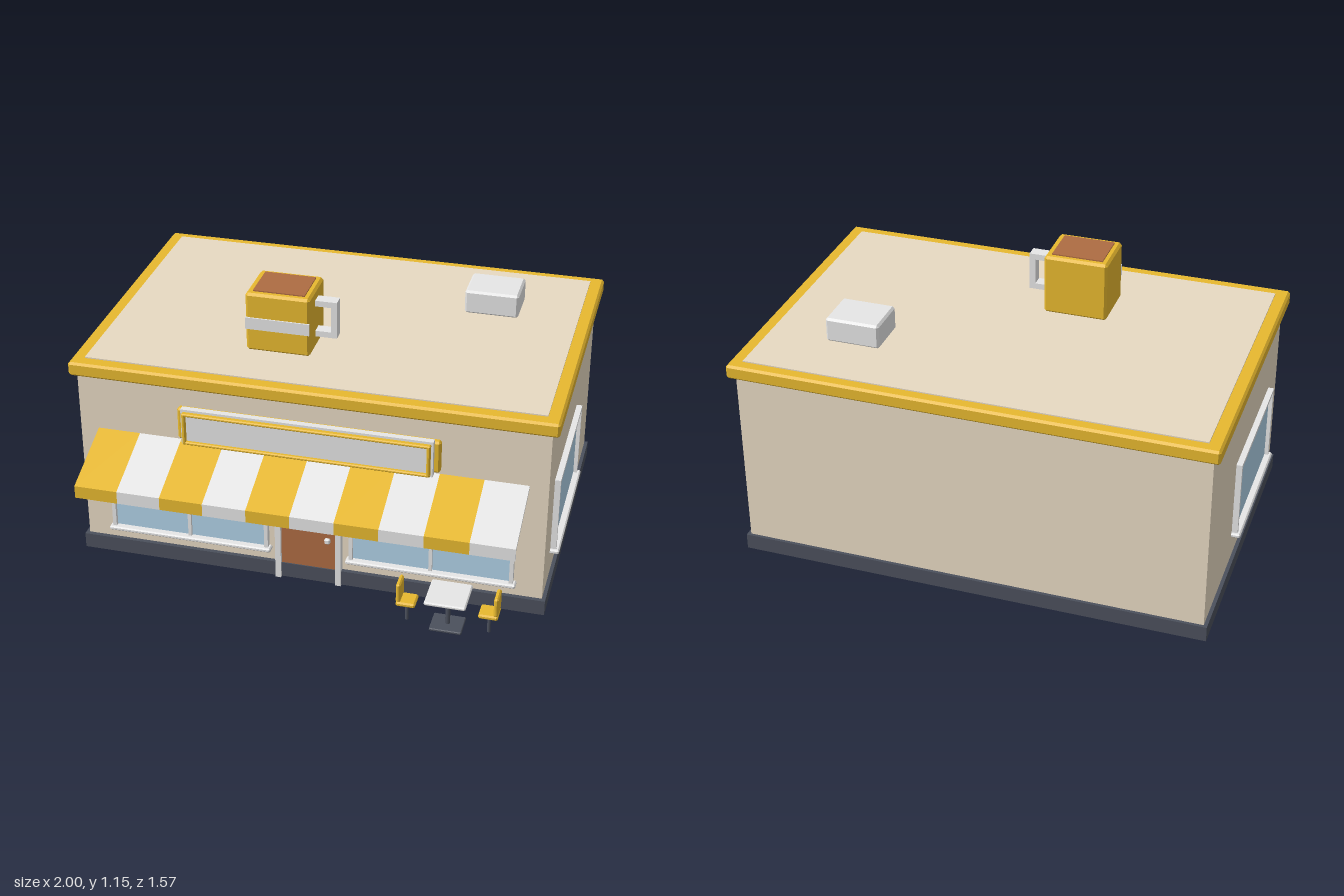
import * as THREE from 'three';
import { ConvexGeometry } from 'three/addons/geometries/ConvexGeometry.js';

const mat = (name, color) => {
  const m = new THREE.MeshStandardMaterial({ color });
  m.name = name;
  return m;
};

// Box with every edge cut at 45 degrees by c
const chamferBox = (w, h, d, c) => {
  const half = [w / 2, h / 2, d / 2], points = [];
  for (const sx of [-1, 1]) for (const sy of [-1, 1]) for (const sz of [-1, 1])
    for (let full = 0; full < 3; full++)
      points.push(new THREE.Vector3(
        ...[sx, sy, sz].map((s, axis) => s * (half[axis] - (axis === full ? 0 : c)))));
  return new ConvexGeometry(points);
};

export function createModel() {
  const root = new THREE.Group();
  root.name = 'cornerCafe';
  const beige = mat('beige wall', 0xe8dac3);
  const gold = mat('gold trim', 0xe8b92f);
  const slate = mat('slate', 0x4b505c);
  const grey = mat('light grey', 0xe6e6e6);
  const glass = mat('window glass', 0xb0d2e8);
  const brown = mat('brown', 0xae6c42);

  const group = (name, parent = root) => {
    const g = new THREE.Group();
    g.name = name;
    parent.add(g);
    return g;
  };
  // Box given by its limits on each axis; c cuts the edges
  const box = (name, material, [x0, x1], [y0, y1], [z0, z1], c = 0, parent = root) => {
    const size = [x1 - x0, y1 - y0, z1 - z0];
    const mesh = new THREE.Mesh(c ? chamferBox(...size, c) : new THREE.BoxGeometry(...size), material);
    mesh.name = name;
    mesh.position.set((x0 + x1) / 2, (y0 + y1) / 2, (z0 + z1) / 2);
    parent.add(mesh);
    return mesh;
  };

  // Building shell
  box('walls', beige, [-0.963, 0.963], [0, 0.84], [-0.753, 0.497]);
  box('plinth', slate, [-0.978, 0.978], [0.002, 0.068], [-0.766, 0.515]);
  box('cornice', gold, [-0.992, 0.992], [0.83, 0.89], [-0.783, 0.522], 0.009);
  box('roof', beige, [-0.937, 0.937], [0.87, 0.895], [-0.735, 0.468]);

  // Window in local x/y, facing +z from z = 0, with optional mullion
  const makeWindow = (name, w, mullion) => {
    const g = group(name);
    const h = w / 2, t = 0.016, y1 = 0.522;
    const low = mullion ? 0.125 : 0.185;
    box('glass', glass, [-h + 0.005, h - 0.005], [low, y1 - 0.005], [-0.01, 0.008], 0, g);
    for (const s of [-1, 1]) {
      const c = s * (h - t / 2);
      box('frameSide', grey, [c - t / 2, c + t / 2], [low, y1], [-0.01, 0.024], 0, g);
    }
    box('frameTop', grey, [-h + t, h - t], [y1 - t, y1], [-0.01, 0.024], 0, g);
    if (mullion) box('mullion', grey, [-0.007, 0.007], [low, y1 - t], [-0.01, 0.02], 0, g);
    box('sill', grey, [-h - 0.012, h + 0.012], [low - 0.007, low + 0.011], [-0.01, 0.037], 0.005, g);
    return g;
  };
  for (const s of [-1, 1]) {
    makeWindow('frontWindow', 0.675, true).position.set(s * 0.508, 0, 0.497);
    const side = makeWindow('sideWindow', 0.62, false);
    side.position.set(s * 0.963, 0, 0.014);
    side.rotation.y = s * Math.PI / 2;
  }

  // Door
  const door = group('door');
  box('doorLeaf', brown, [-0.115, 0.115], [0.066, 0.435], [0.48, 0.51], 0, door);
  box('doorWindow', glass, [-0.088, 0.086], [0.24, 0.4], [0.508, 0.514], 0, door);
  for (const s of [-1, 1]) {
    const c = s * 0.127;
    box('doorPost', grey, [c - 0.012, c + 0.012], [0, 0.45], [0.48, 0.525], 0, door);
  }
  box('doorHead', grey, [-0.115, 0.115], [0.433, 0.45], [0.48, 0.525], 0, door);
  box('doorKnob', grey, [0.069, 0.092], [0.195, 0.218], [0.505, 0.524], 0.004, door);

  // Striped awning: one extruded section per stripe
  const awning = group('awning');
  const section = new THREE.Shape([
    [0.49, 0.578], [0.49, 0.592], [0.786, 0.484], [0.786, 0.43], [0.778, 0.43], [0.778, 0.474],
  ].map(([z, y]) => new THREE.Vector2(z, y)));
  const stripe = 1.774 / 10;
  const stripeGeo = new THREE.ExtrudeGeometry(section, { depth: stripe, bevelEnabled: false });
  stripeGeo.rotateY(-Math.PI / 2);
  for (let i = 0; i < 10; i++) {
    const m = new THREE.Mesh(stripeGeo, i % 2 ? grey : gold);
    m.name = 'awningStripe';
    m.position.x = -0.887 + stripe * (i + 1);
    awning.add(m);
  }

  // Blank sign: gold backing, grey board, slim gold bezel around the face
  const sign = group('sign');
  box('signBack', gold, [-0.537, 0.537], [0.605, 0.745], [0.49, 0.523], 0.008, sign);
  box('signBoard', grey, [-0.513, 0.513], [0.6, 0.757], [0.521, 0.547], 0, sign);
  box('signFace', grey, [-0.49, 0.49], [0.617, 0.735], [0.546, 0.552], 0, sign);
  for (const y of [0.606, 0.734])
    box('bezelRail', gold, [-0.505, 0.505], [y, y + 0.013], [0.54, 0.566], 0.004, sign);
  for (const s of [-1, 1]) {
    const c = s * 0.497;
    box('bezelStile', gold, [c - 0.007, c + 0.007], [0.608, 0.746], [0.54, 0.567], 0.004, sign);
  }

  // Rooftop cup
  const cup = group('rooftopCup');
  box('cupBody', gold, [-0.328, -0.062], [0.893, 1.148], [0.016, 0.244], 0.01, cup);
  box('coffee', brown, [-0.302, -0.088], [1.143, 1.153], [0.042, 0.218], 0, cup);
  box('cupBand', grey, [-0.328, -0.062], [0.992, 1.043], [0.242, 0.25], 0, cup);
  for (const y of [0.945, 1.08])
    box('handleArm', grey, [-0.068, 0.003], [y, y + 0.025], [0.105, 0.156], 0, cup);
  box('handleGrip', grey, [0.003, 0.028], [0.945, 1.105], [0.105, 0.156], 0, cup);

  box('roofVent', grey, [0.463, 0.69], [0.893, 0.997], [-0.486, -0.3], 0.009);

  // Pavement table and two facing chairs
  const post = (name, x, y0, y1, r, parent) => {
    const m = new THREE.Mesh(new THREE.CylinderGeometry(r, r, y1 - y0, 12), slate);
    m.name = name;
    m.position.set(x, (y0 + y1) / 2, 0.673);
    parent.add(m);
  };
  const table = group('table');
  box('tableTop', grey, [0.533, 0.699], [0.139, 0.155], [0.59, 0.757], 0.005, table);
  box('tableFoot', slate, [0.551, 0.681], [0, 0.012], [0.618, 0.728], 0.003, table);
  post('tablePost', 0.616, 0.01, 0.142, 0.01, table);
  for (const s of [-1, 1]) {
    const chair = group('chair');
    const span = (a, b) => [0.616 + s * a, 0.616 + s * b].sort((p, q) => p - q);
    box('chairSeat', gold, span(0.127, 0.205), [0.082, 0.102], [0.633, 0.713], 0.006, chair);
    box('chairBack', gold, span(0.187, 0.205), [0.1, 0.186], [0.633, 0.713], 0.006, chair);
    post('chairPost', 0.616 + s * 0.166, 0, 0.088, 0.007, chair);
  }
  return root;
}
